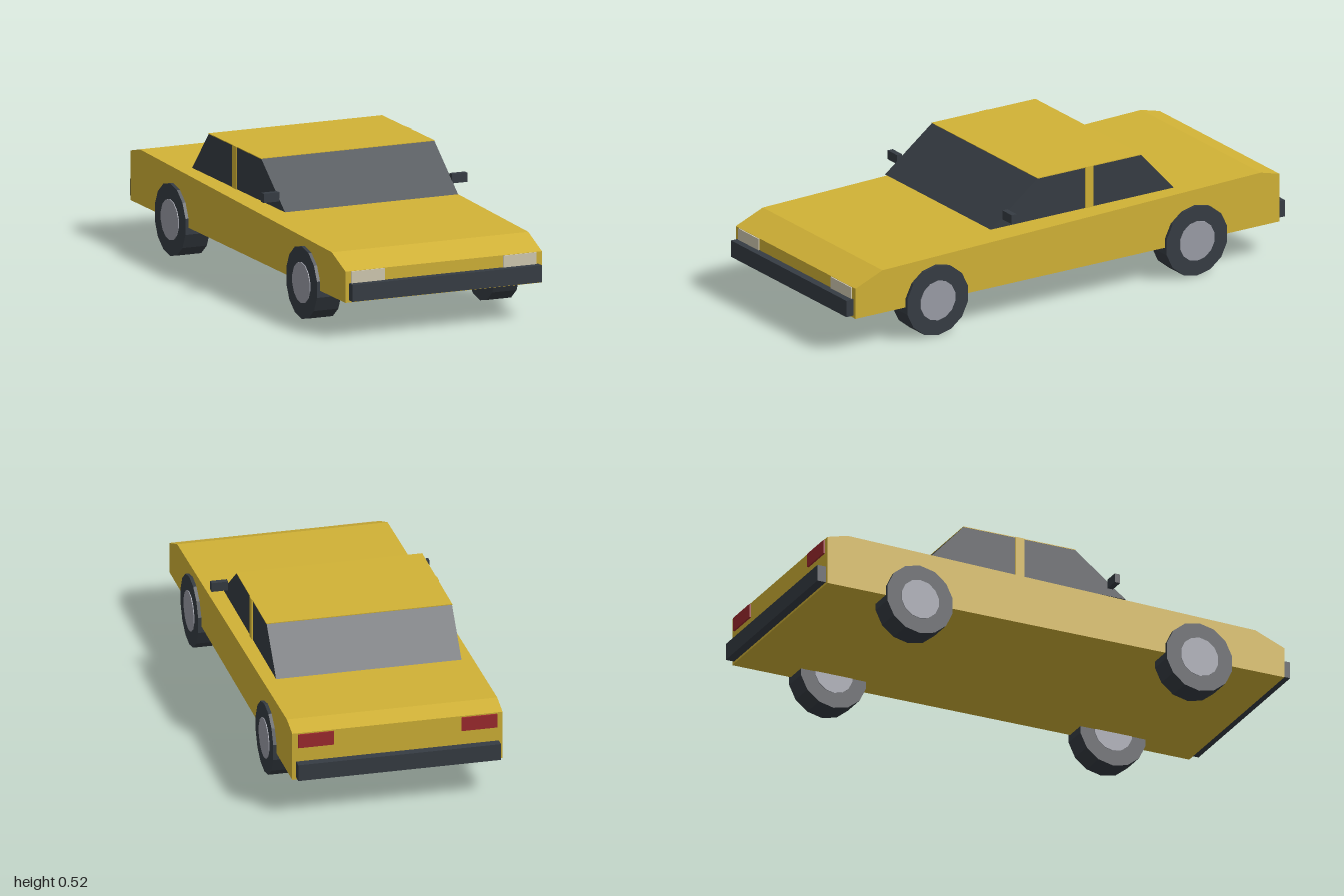
import * as THREE from 'three';

const paint = (name, color) => {
  const m = new THREE.MeshStandardMaterial({ color });
  m.name = name;
  return m;
};

export function createModel() {
  const car = new THREE.Group();
  car.name = 'car';
  const yellow = paint('yellow paint', 0xd1b236);
  const dark = paint('dark glass and rubber', 0x363c43);
  const silver = paint('hub silver', 0x9a9ca6);
  const cream = paint('headlight cream', 0xd2cab2);
  const red = paint('tail light red', 0x9e2a2e);

  const add = (name, geometry, material, parent = car) => {
    const mesh = new THREE.Mesh(geometry, material);
    mesh.name = name;
    parent.add(mesh);
    return mesh;
  };

  // Box given by its limits on each axis
  const block = (name, [x0, x1], [y0, y1], [z0, z1], material) =>
    add(name, new THREE.BoxGeometry(x1 - x0, y1 - y0, z1 - z0), material)
      .position.set((x0 + x1) / 2, (y0 + y1) / 2, (z0 + z1) / 2);

  // Side profile of (z, y) points, extruded across the width
  const profile = (points, width) => {
    const shape = new THREE.Shape(points.map(([z, y]) => new THREE.Vector2(z, y)));
    return new THREE.ExtrudeGeometry(shape, { depth: width, bevelEnabled: false })
      .translate(0, 0, -width / 2)
      .rotateY(-Math.PI / 2);
  };

  // Lower body with sloping nose and tail
  add('body', profile([
    [0.968, 0.137], [0.968, 0.259], [0.845, 0.309],
    [-0.88, 0.352], [-0.965, 0.33], [-0.965, 0.137],
  ].reverse(), 0.824), yellow);

  // Glass cabin, painted roof and middle pillars
  add('cabinGlass', profile([
    [0.32, 0.351], [0.107, 0.515], [-0.365, 0.515], [-0.515, 0.351],
  ].reverse(), 0.726), dark);
  block('roof', [-0.364, 0.364], [0.514, 0.517], [-0.366, 0.107], yellow);

  // Bumpers
  block('frontBumper', [-0.397, 0.397], [0.146, 0.212], [0.96, 1], dark);
  block('rearBumper', [-0.397, 0.397], [0.146, 0.212], [-1, -0.96], dark);

  // Paired details
  for (const [side, s] of [['left', 1], ['right', -1]]) {
    const across = (a, b) => (s > 0 ? [a, b] : [-b, -a]);
    block(side + 'Pillar', across(0.36, 0.367), [0.351, 0.517], [-0.147, -0.11], yellow);
    block(side + 'Mirror', across(0.362, 0.427), [0.382, 0.418], [0.243, 0.266], dark);
    block(side + 'Headlight', across(0.248, 0.388), [0.205, 0.258], [0.966, 0.973], cream);
    block(side + 'TailLight', across(0.25, 0.39), [0.27, 0.325], [-0.972, -0.963], red);

    // Wheels: fourteen-sided tyre with a hub showing on both faces
    for (const [end, z] of [['Front', 0.602], ['Rear', -0.58]]) {
      const wheel = new THREE.Group();
      wheel.name = side + end + 'Wheel';
      wheel.position.set(s * 0.374, 0.1415, z);
      const disc = (r, w) => new THREE.CylinderGeometry(r, r, w, 14)
        .toNonIndexed().rotateY(Math.PI / 2).rotateZ(Math.PI / 2);
      for (const [name, r, w, m] of [['tyre', 0.1415, 0.102, dark], ['hub', 0.08, 0.108, silver]]) {
        const g = disc(r, w);
        g.computeVertexNormals();
        add(name, g, m, wheel);
      }
      car.add(wheel);
    }
  }
  return car;
}
